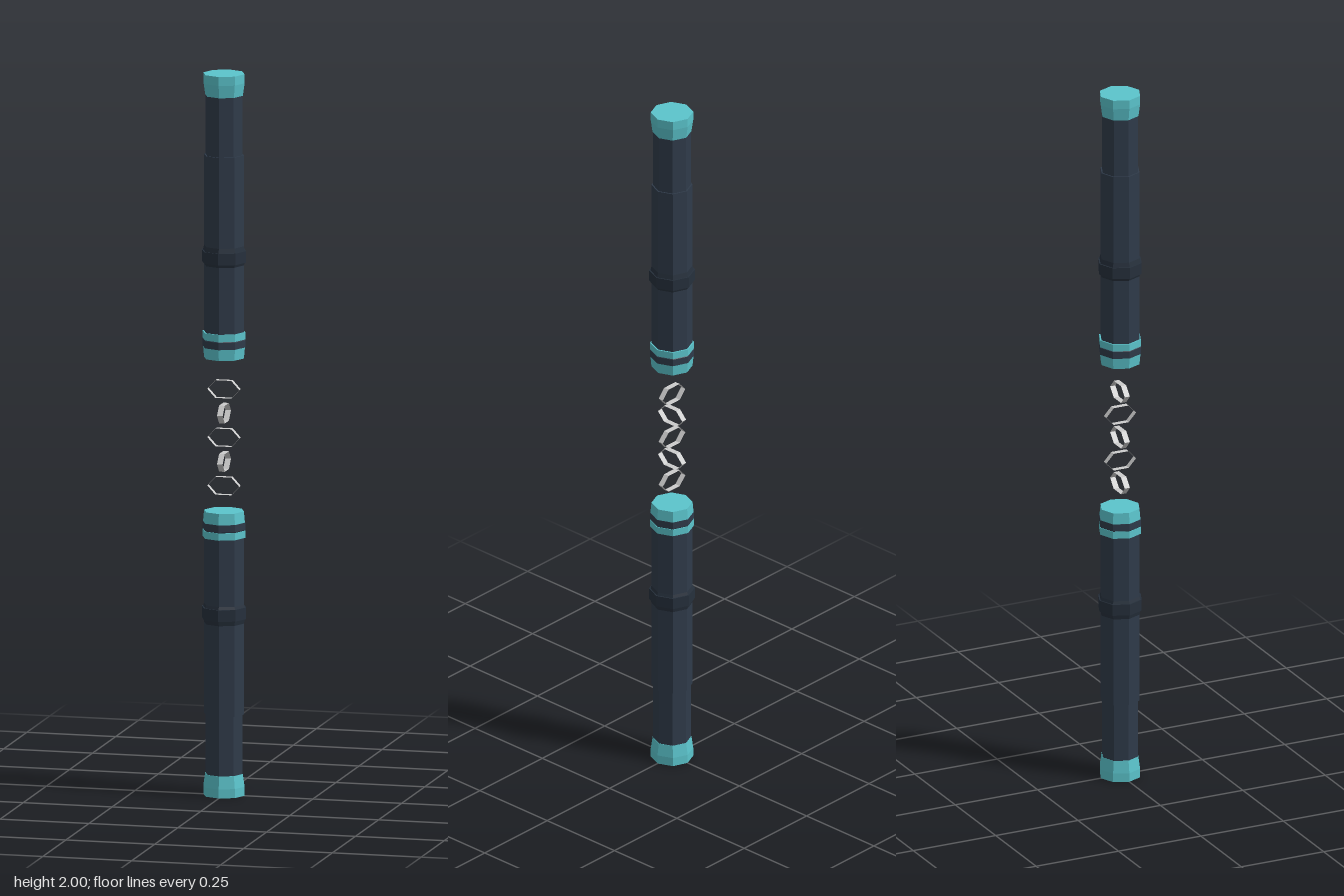
import * as THREE from 'three';

const paint = (color) => new THREE.MeshStandardMaterial({ color, flatShading: true, side: THREE.DoubleSide });

export function createModel() {
  const model = new THREE.Group();
  const dark = paint(0x2f3b4a);
  const black = paint(0x26303c);
  const teal = paint(0x5bc4cc);
  const steel = paint(0xcccccc);

  // Eight-sided turned part: profile of [radius, height] points, bottom to top
  const turned = (name, profile, material) => {
    const points = profile.map(([r, y]) => new THREE.Vector2(r, y));
    const mesh = new THREE.Mesh(new THREE.LatheGeometry(points, 8), material);
    mesh.name = name;
    return mesh;
  };

  // One handle, standing on y = 0 with the chain end at the top
  const makeStick = (name) => {
    const stick = new THREE.Group();
    stick.name = name;
    stick.add(
      turned('endCap', [[0, 0], [0.058, 0], [0.058, 0.025], [0.053, 0.06], [0, 0.06]], teal),
      turned('handle', [[0.052, 0.06], [0.052, 0.225], [0.056, 0.225], [0.056, 0.715]], dark),
      turned('gripRing', [[0.056, 0.477], [0.059, 0.49], [0.0625, 0.49], [0.0625, 0.522], [0.059, 0.522], [0.056, 0.53]], black),
      turned('lowerBand', [[0.056, 0.715], [0.06, 0.715], [0.06, 0.735], [0.058, 0.735]], teal),
      turned('darkBand', [[0.058, 0.735], [0.06, 0.737], [0.06, 0.757], [0.057, 0.757]], dark),
      turned('chainCap', [[0.057, 0.757], [0.059, 0.757], [0.056, 0.788], [0, 0.788]], teal)
    );
    return stick;
  };

  const lowerStick = makeStick('lowerStick');
  const upperStick = makeStick('upperStick');
  upperStick.rotation.x = Math.PI;
  upperStick.position.y = 2;
  model.add(lowerStick, upperStick);

  // Chain: thin six-sided ribbon links, each turned a quarter from the last
  const linkGeometry = new THREE.CylinderGeometry(0.045, 0.045, 0.016, 6, 1, true);
  linkGeometry.rotateY(Math.PI / 2);
  linkGeometry.rotateX(Math.PI / 2);
  linkGeometry.scale(1, 0.63, 1);
  const chain = new THREE.Group();
  chain.name = 'chain';
  for (let i = 0; i < 5; i++) {
    const link = new THREE.Mesh(linkGeometry, steel);
    link.name = 'chainLink';
    link.position.y = 0.857 + i * 0.067;
    link.rotation.y = (i % 2) * Math.PI / 2;
    chain.add(link);
  }
  model.add(chain);
  return model;
}
